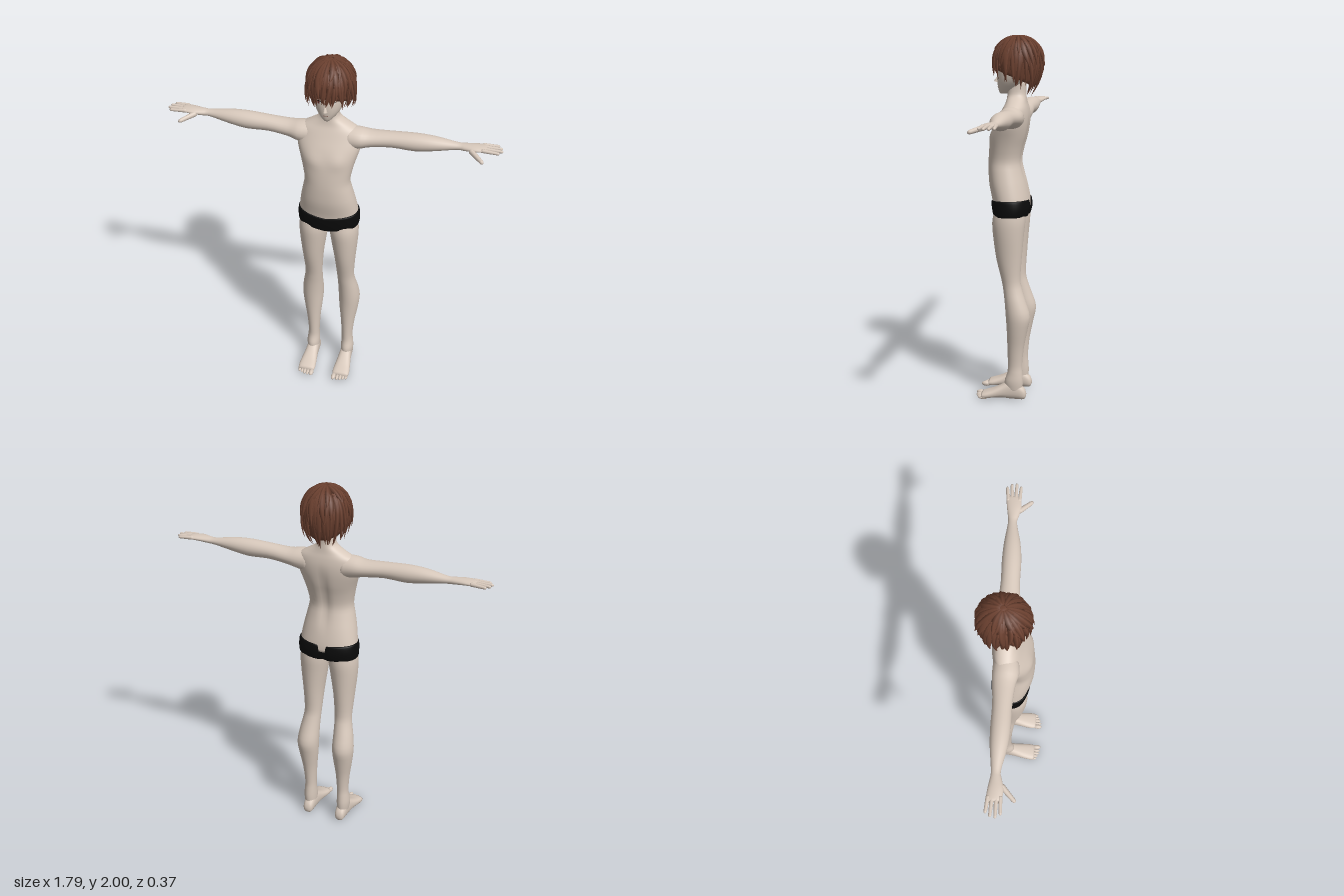
import * as THREE from 'three';
import { mergeGeometries } from 'three/addons/utils/BufferGeometryUtils.js';

const V = (x, y, z) => new THREE.Vector3(x, y, z);
const material = (name, color, side = THREE.FrontSide) => {
  const m = new THREE.MeshStandardMaterial({ color, side });
  m.name = name;
  return m;
};

// Joins rings of points (counterclockwise around the path) and closes both ends
function skin(rings) {
  const n = rings[0].length, pts = rings.flat(), index = [];
  for (let i = 0; i < rings.length - 1; i++) {
    for (let j = 0; j < n; j++) {
      const a = i * n + j, b = i * n + (j + 1) % n;
      index.push(a, b, a + n, b, b + n, a + n);
    }
  }
  const last = (rings.length - 1) * n;
  const middle = ring => ring.reduce((s, p) => s.add(p), V(0, 0, 0)).divideScalar(n);
  pts.push(middle(rings[0]), middle(rings[rings.length - 1]));
  for (let j = 0; j < n; j++) {
    const k = (j + 1) % n;
    index.push(pts.length - 2, k, j, pts.length - 1, last + j, last + k);
  }
  const g = new THREE.BufferGeometry().setFromPoints(pts);
  g.setIndex(index);
  g.computeVertexNormals();
  return g;
}

// Smooth loft along an axis; each section is [position, lowA, highA, lowB, highB]
function loft(axis, sections, { side = 1, power = 2, seg = 24, rule = null } = {}) {
  const steps = (sections.length - 1) * 3, rings = [];
  const low = new THREE.CatmullRomCurve3(sections.map(s => V(s[0], s[1], s[3])), false, 'catmullrom', 0.5);
  const high = new THREE.CatmullRomCurve3(sections.map(s => V(s[0], s[2], s[4])), false, 'catmullrom', 0.5);
  const bend = v => Math.sign(v) * Math.abs(v) ** (2 / power);
  const mix = (a, b, k) => (a + b) / 2 + (b - a) / 2 * k;
  for (let i = 0; i <= steps; i++) {
    const l = low.getPoint(i / steps), h = high.getPoint(i / steps), ring = [];
    for (let j = 0; j < seg; j++) {
      const t = j / seg * Math.PI * 2, c = bend(Math.cos(t)), s = bend(Math.sin(t));
      const [ka, kb] = axis === 'y' ? [s, c] : [c, s];
      const a = mix(l.y, h.y, ka), b = mix(l.z, h.z, kb);
      const p = axis === 'y' ? V(a, l.x, b) : axis === 'x' ? V(l.x, a, b) : V(a, b, l.x);
      if (rule) rule(p);
      p.x *= side;
      ring.push(p);
    }
    rings.push(side < 0 ? ring.reverse() : ring);
  }
  return skin(rings);
}

// Section with equal left and right reach
const even = ([y, r, back, front]) => [y, -r, r, back, front];

export function createModel() {
  let seed = 11;
  const rand = (lo, hi) => {
    seed = (seed * 16807) % 2147483647;
    return lo + (hi - lo) * seed / 2147483647;
  };
  const root = new THREE.Group();
  root.name = 'figure';
  const skinTone = material('skin', 0xd8c9bc);
  const hairBrown = material('hair brown', 0x6e4231, THREE.DoubleSide);
  const black = material('shorts black', 0x0b0b0b);
  const white = material('eye white', 0xe9e4e0);
  const iris = material('iris brown', 0x6b2f2a);
  const lip = material('lip line', 0x8a6a60);
  const group = name => {
    const g = new THREE.Group();
    g.name = name;
    root.add(g);
    return g;
  };
  const add = (name, geometry, mat, parent = root) => {
    const m = new THREE.Mesh(geometry, mat);
    m.name = name;
    parent.add(m);
    return m;
  };
  const oval = (name, pos, scale, parent) => {
    const m = add(name, new THREE.SphereGeometry(1, 12, 8), skinTone, parent);
    m.position.set(...pos);
    m.scale.set(...scale);
    return m;
  };
  const digit = (name, a, b, r, parent) => {
    const d = b.clone().sub(a), len = d.length();
    const g = new THREE.CapsuleGeometry(r, len - r, 4, 10);
    const p = g.attributes.position;
    for (let i = 0; i < p.count; i++) {
      const k = 0.85 - 0.3 * p.getY(i) / len;
      p.setXYZ(i, p.getX(i) * k, p.getY(i), p.getZ(i) * k);
    }
    const m = add(name, g, skinTone, parent);
    m.position.copy(a).add(b).multiplyScalar(0.5);
    m.quaternion.setFromUnitVectors(V(0, 1, 0), d.normalize());
  };

  // Torso and neck, with a spine groove and a soft chest
  const torso = [
    [1.08, 0.163, -0.096, 0.104], [1.12, 0.161, -0.094, 0.108], [1.2, 0.148, -0.078, 0.125],
    [1.27, 0.133, -0.06, 0.13], [1.33, 0.122, -0.05, 0.13], [1.4, 0.134, -0.062, 0.125],
    [1.46, 0.15, -0.078, 0.116], [1.52, 0.168, -0.088, 0.095], [1.57, 0.172, -0.09, 0.07],
    [1.61, 0.16, -0.085, 0.05], [1.64, 0.11, -0.078, 0.036], [1.67, 0.06, -0.074, 0.03],
    [1.7, 0.046, -0.072, 0.028], [1.76, 0.044, -0.075, 0.025],
  ].map(even);
  add('torso', loft('y', torso, { seg: 48, power: 2.2, rule: p => {
    const band = Math.exp(-(((p.y - 1.38) / 0.16) ** 4));
    if (p.z < 0) p.z += 0.012 * band * Math.exp(-((p.x / 0.025) ** 2));
    else p.z += 0.007 * Math.exp(-(((Math.abs(p.x) - 0.07) / 0.045) ** 2) - ((p.y - 1.47) / 0.04) ** 2);
  } }), skinTone);

  // Shorts, dipping towards the middle
  const shorts = [
    [1.035, 0.161, -0.088, 0.095], [1.042, 0.167, -0.094, 0.1], [1.08, 0.169, -0.103, 0.108],
    [1.118, 0.166, -0.1, 0.112], [1.125, 0.16, -0.094, 0.108],
  ].map(even);
  add('shorts', loft('y', shorts, { seg: 48, power: 2.4, rule: p => {
    p.y -= 0.02 * (1 - Math.abs(p.x) / 0.17) * (p.z > 0 ? 1 : 0.4);
    if (p.z < 0) p.z += 0.015 * Math.exp(-((p.x / 0.022) ** 2));
  } }), black);

  const armSections = [
    [0.09, 1.5, 1.63, -0.078, 0.05], [0.16, 1.513, 1.626, -0.08, 0.055], [0.22, 1.528, 1.618, -0.076, 0.04],
    [0.33, 1.54, 1.624, -0.068, 0.03], [0.45, 1.536, 1.63, -0.07, 0.03], [0.55, 1.55, 1.625, -0.065, 0.02],
    [0.66, 1.569, 1.608, -0.052, -0.004], [0.7, 1.572, 1.608, -0.054, 0.002], [0.75, 1.578, 1.61, -0.062, 0.014],
    [0.8, 1.583, 1.608, -0.067, 0.01], [0.815, 1.588, 1.604, -0.064, 0.005],
  ];
  const legSections = [
    [0.04, 0.07, 0.132, -0.07, 0.02], [0.1, 0.067, 0.14, -0.075, 0.028], [0.15, 0.069, 0.136, -0.072, 0.013],
    [0.2, 0.069, 0.133, -0.07, 0.01], [0.3, 0.063, 0.143, -0.08, 0.012], [0.4, 0.052, 0.16, -0.1, 0.015],
    [0.48, 0.047, 0.168, -0.114, 0.02], [0.56, 0.047, 0.158, -0.09, 0.027], [0.62, 0.046, 0.146, -0.07, 0.035],
    [0.68, 0.043, 0.141, -0.058, 0.046], [0.8, 0.033, 0.15, -0.065, 0.075], [0.92, 0.015, 0.162, -0.075, 0.092],
    [1.0, 0.004, 0.165, -0.083, 0.098], [1.06, 0.004, 0.158, -0.082, 0.088],
  ];
  const footSections = [
    [-0.092, 0.09, 0.112, 0.018, 0.038], [-0.08, 0.074, 0.127, 0.001, 0.065], [-0.04, 0.068, 0.133, 0, 0.1],
    [0, 0.066, 0.136, 0.001, 0.105], [0.04, 0.063, 0.141, 0.006, 0.082], [0.09, 0.057, 0.149, 0.004, 0.056],
    [0.13, 0.054, 0.153, 0, 0.041], [0.155, 0.058, 0.149, 0.002, 0.032],
  ];
  for (const side of [1, -1]) {
    const label = side > 0 ? 'left' : 'right';
    const arm = group(label + 'Arm'), leg = group(label + 'Leg');
    // Arm with palm, fingers and thumb
    add('armAndPalm', loft('x', armSections, { side }), skinTone, arm);
    [[-0.057, -0.066, 0.868], [-0.038, -0.043, 0.885], [-0.018, -0.018, 0.89], [0.001, 0.006, 0.874]]
      .forEach(([z0, z1, tip]) => digit('finger', V(0.79 * side, 1.597, z0), V(tip * side, 1.594, z1), 0.011, arm));
    digit('thumb', V(0.735 * side, 1.588, 0.002), V(0.802 * side, 1.568, 0.068), 0.015, arm);
    // Leg with foot and toes
    add('legShape', loft('y', legSections, { side }), skinTone, leg);
    add('foot', loft('z', footSections, { side, power: 2.4 }), skinTone, leg);
    [[0.068, 0.167, 0.014], [0.09, 0.164, 0.01], [0.108, 0.16, 0.01], [0.125, 0.153, 0.009], [0.141, 0.145, 0.009]]
      .forEach(([x, z, r]) => oval('toe', [x * side, r, z], [r, r, 0.027], leg));
  }

  // Head, nose and mouth
  const head = group('head');
  add('face', loft('y', [
    [1.686, 0.014, 0.03, 0.066], [1.698, 0.03, 0, 0.075], [1.73, 0.058, -0.045, 0.082], [1.77, 0.077, -0.09, 0.085],
    [1.82, 0.086, -0.118, 0.083], [1.88, 0.088, -0.125, 0.08], [1.93, 0.074, -0.11, 0.055], [1.965, 0.04, -0.07, 0.015],
  ].map(even)), skinTone, head);
  const nose = add('nose', new THREE.ConeGeometry(0.012, 0.05, 8), skinTone, head);
  nose.position.set(0, 1.772, 0.08);
  nose.rotation.x = -0.3;
  nose.scale.z = 1.4;
  const mouth = add('mouth', new THREE.BoxGeometry(0.026, 0.003, 0.006), lip, head);
  mouth.position.set(0, 1.725, 0.0795);
  for (const side of [1, -1]) {
    oval('ear', [0.087 * side, 1.785, -0.03], [0.013, 0.034, 0.022], head).rotation.x = -0.2;
    // Eye plates on the curve of the face
    const eye = group('eye');
    eye.position.set(0.036 * side, 1.8, 0.0775);
    eye.rotation.y = 0.46 * side;
    const disc = (name, mat, w, h, y, z) => {
      const m = add(name, new THREE.CircleGeometry(1, 20), mat, eye);
      m.scale.set(w, h, 1);
      m.position.set(0, y, z);
    };
    disc('eyeWhite', white, 0.016, 0.009, 0, 0);
    disc('iris', iris, 0.008, 0.009, 0, 0.001);
    disc('upperLash', black, 0.018, 0.003, 0.008, 0.002);
  }

  // Hair: a cap following the skull, covered with tapering locks
  const hair = group('hair');
  const scalp = (phi, theta, lift) => {
    const over = theta - Math.PI / 2;
    const v = over < 0 ? Math.cos(theta) : -over;
    const k = (over < 0 ? Math.sin(theta) : 1 - 0.2 * v * v) * lift;
    return V(0.117 * k * Math.sin(phi), 1.87 + 0.12 * v * (over < 0 ? lift : 1), -0.03 + 0.128 * k * Math.cos(phi));
  };
  const hairEnd = phi => Math.PI / 2 + 0.7 + 0.4 * (1 - Math.cos(phi));
  const capRings = [];
  for (let i = 0; i <= 14; i++) {
    capRings.push(Array.from({ length: 36 }, (_, j) => {
      const phi = j / 36 * Math.PI * 2;
      return scalp(phi, 0.04 + (hairEnd(phi) - 0.34) * (1 - i / 14), 1);
    }));
  }
  add('hairCap', skin(capRings), hairBrown, hair);

  const lock = (phi, start, end, lift, width, sway) => {
    const at = t => scalp(phi + sway * t * t, start + (end - start) * t, 1.01 + (lift - 1.01) * t * t);
    const rings = [];
    for (let i = 0; i <= 8; i++) {
      const t = i / 8, c = at(t);
      const dir = at(t + 0.02).sub(at(t - 0.02)).normalize();
      const out = c.clone().sub(V(0, Math.min(c.y, 1.87), -0.03)).normalize();
      const across = out.clone().cross(dir).normalize();
      out.copy(dir).cross(across);
      const w = width * (0.03 + Math.sin(Math.PI * (0.25 + 0.75 * t)));
      rings.push([[across, w], [out, w * 0.45], [across, -w], [out, -w * 0.45]]
        .map(([d, k]) => c.clone().addScaledVector(d, k)));
    }
    return skin(rings);
  };
  // Long lower locks, middle layer and short crown layer
  const layer = (name, count, make) => add(name, mergeGeometries(
    Array.from({ length: count }, (_, i) => make(i / count * Math.PI * 2 + rand(-0.07, 0.07)))), hairBrown, hair);
  layer('longLocks', 40, phi => lock(phi, rand(0.6, 1.1), hairEnd(phi) + rand(-0.2, 0.14),
    1.09 + Math.abs(Math.sin(phi)) * rand(0, 0.32), rand(0.013, 0.019), rand(-0.25, 0.25)));
  layer('middleLocks', 26, phi => lock(phi, rand(0.3, 0.6), rand(1.8, 2.2),
    rand(1.06, 1.18), rand(0.015, 0.021), rand(-0.3, 0.3)));
  layer('crownLocks', 15, phi => lock(phi, 0.12, rand(1.1, 1.5),
    rand(1.04, 1.13), rand(0.015, 0.02), rand(-0.35, 0.35)));
  return root;
}
